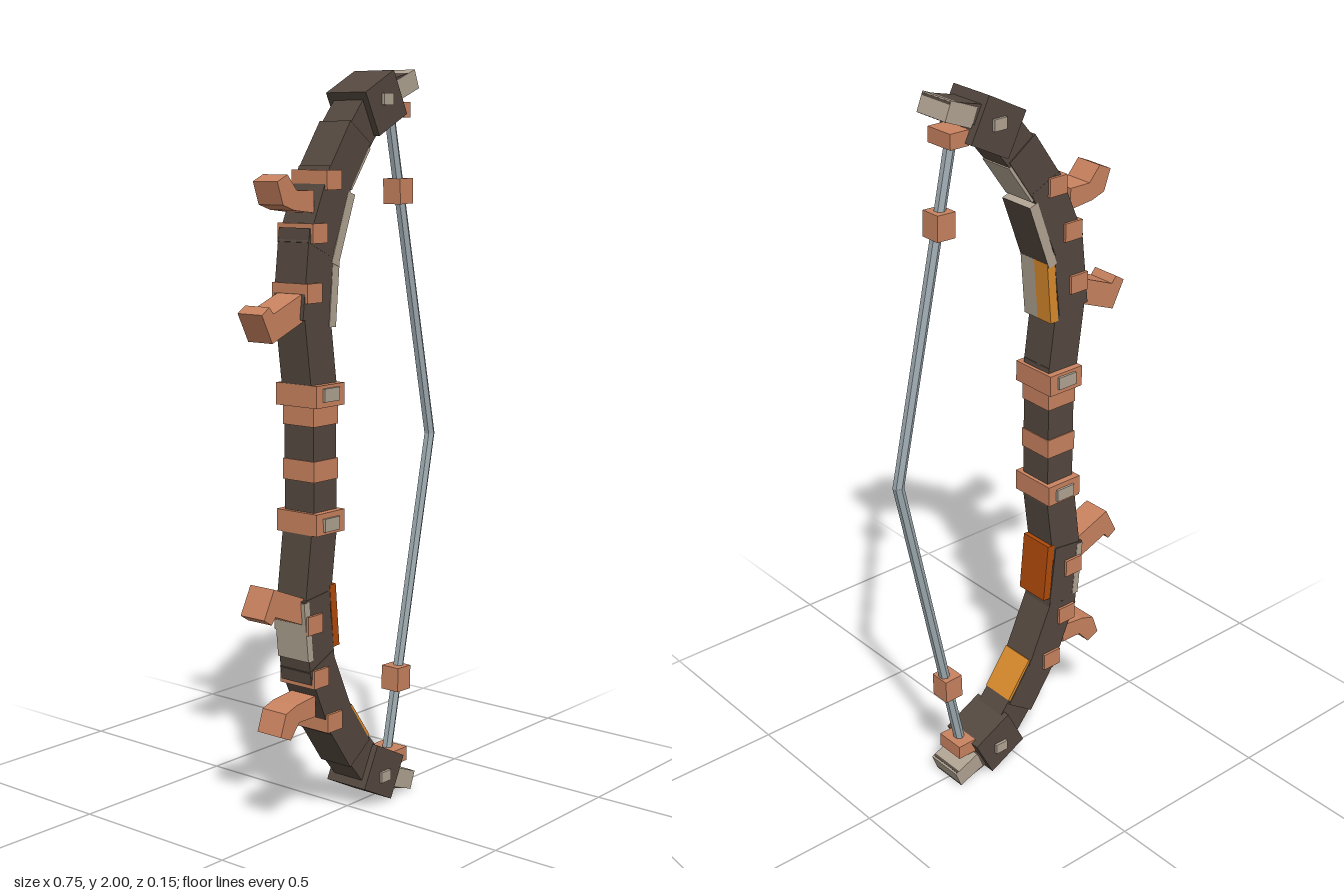
import * as THREE from 'three';

const mat = (name, color) => {
  const m = new THREE.MeshStandardMaterial({ color });
  m.name = name;
  return m;
};

export function createModel() {
  const bow = new THREE.Group();
  bow.name = 'bow';
  const dark = mat('dark wood', 0x54483f);
  const copper = mat('copper', 0xc8825f);
  const pale = mat('pale bone', 0xb0a392);
  const steel = mat('string grey', 0x9daab0);
  const amber = mat('amber', 0xd98a2b);
  const burnt = mat('burnt orange', 0xb04a0a);

  const add = (name, geo, m, x = 0, y = 0, z = 0, rot = 0) => {
    const mesh = new THREE.Mesh(geo, m);
    mesh.name = name;
    mesh.position.set(x, y, z);
    mesh.rotation.z = rot;
    bow.add(mesh);
    return mesh;
  };
  const box = (name, m, x, y, w, h, d, rot = 0, z = 0) =>
    add(name, new THREE.BoxGeometry(w, h, d), m, x, y, z, rot);

  // Grip with two wrapped bands
  box('grip', dark, -0.15, 1, 0.09, 0.42, 0.1);
  for (const y of [1.115, 0.97]) box('gripBand', copper, -0.15, y, 0.096, 0.055, 0.106);

  // Upper limb for s = 1, lower limb for s = -1
  for (const s of [1, -1]) {
    const Y = (y) => 1 + s * (y - 1);
    const part = (name, m, x, y, w, h, d, rot = 0) => box(name, m, x, Y(y), w, h, d, s * rot);
    const bar = (name, m, [x1, y1], [x2, y2], w, d, z = 0) =>
      box(name, m, (x1 + x2) / 2, Y((y1 + y2) / 2), w,
        Math.hypot(x2 - x1, y2 - y1), d, s * Math.atan2(x1 - x2, y2 - y1), z);

    // Overlapping limb blocks
    const limb = [
      [[-0.151, 1.17], [-0.183, 1.41], 0.1],
      [[-0.187, 1.36], [-0.16, 1.59], 0.104],
      [[-0.17, 1.54], [-0.085, 1.73], 0.105],
      [[-0.095, 1.71], [-0.008, 1.835], 0.104],
      [[-0.02, 1.81], [0.055, 1.9], 0.098],
    ];
    for (const [a, b, d] of limb) bar('limbBlock', dark, a, b, 0.1, d);

    // Coloured plates along the inside of the limb
    const bA = [-0.121, 1.34], bB = [-0.106, 1.51];
    const cA = [-0.112, 1.5], cB = [-0.045, 1.68];
    const dA = [-0.045, 1.69], dB = [0.031, 1.795];
    if (s > 0) {
      bar('innerPlate', pale, bA, bB, 0.026, 0.052, 0.026);
      bar('innerPlate', amber, bA, bB, 0.026, 0.052, -0.026);
      bar('innerRidge', [dark, pale, pale, pale, pale, pale], cA, cB, 0.028, 0.106);
      bar('innerPlate', pale, dA, dB, 0.009, 0.1);
    } else {
      bar('innerPlate', burnt, bA, bB, 0.024, 0.102);
      bar('innerPlate', amber, dA, dB, 0.009, 0.1);
      bar('outerPlate', pale, [-0.228, 1.37], [-0.212, 1.53], 0.02, 0.106);
    }

    // Limb end block, rivet and hooked tip
    part('endBlock', dark, 0.08, 1.91, 0.13, 0.125, 0.134, 0.47);
    part('endRivet', pale, 0.08, 1.92, 0.04, 0.03, 0.15);
    part('tipBlock', dark, 0.165, 1.958, 0.12, 0.05, 0.104, 0.25);
    part('tipCap', pale, 0.185, 1.96, 0.085, 0.052, 0.108, 0.38);

    // Clamp at the end of the grip
    part('gripClamp', copper, -0.15, 1.167, 0.112, 0.058, 0.138);
    part('clampRivet', pale, -0.15, 1.17, 0.06, 0.035, 0.152);

    // Studs through the limb
    for (const [x, y] of [[-0.2, 1.432], [-0.177, 1.582], [-0.122, 1.715]])
      part('limbStud', copper, x, y, 0.058, 0.05, 0.12);

    // Bent spikes on the outside
    const spikes = [
      [[-0.18, 1.69], [-0.245, 1.69], [-0.28, 1.73], [-0.318, 1.713], [-0.297, 1.655], [-0.255, 1.641], [-0.18, 1.633]],
      [[-0.2, 1.442], [-0.335, 1.388], [-0.35, 1.406], [-0.378, 1.388], [-0.34, 1.314], [-0.2, 1.37]],
    ];
    for (const pts of spikes) {
      const shape = new THREE.Shape(pts.map(([x, y]) => new THREE.Vector2(x, Y(y))));
      const geo = new THREE.ExtrudeGeometry(shape, { depth: 0.082, bevelEnabled: false });
      add('spike', geo, copper, 0, 0, -0.041);
    }

    // String half with its two wraps
    const top = [0.17, 1.91], nock = [0.364, 0.997];
    const len = Math.hypot(top[0] - nock[0], top[1] - nock[1]);
    const geo = new THREE.CylinderGeometry(0.015, 0.015, len, 6).toNonIndexed();
    geo.computeVertexNormals();
    add('string', geo, steel, (top[0] + nock[0]) / 2, Y((top[1] + nock[1]) / 2), 0,
      s * Math.atan2(nock[0] - top[0], top[1] - nock[1]));
    part('stringWrap', copper, 0.215, 1.68, 0.056, 0.068, 0.058, 0.03);
    part('stringAnchor', copper, 0.182, 1.895, 0.058, 0.04, 0.086);
  }
  return bow;
}
